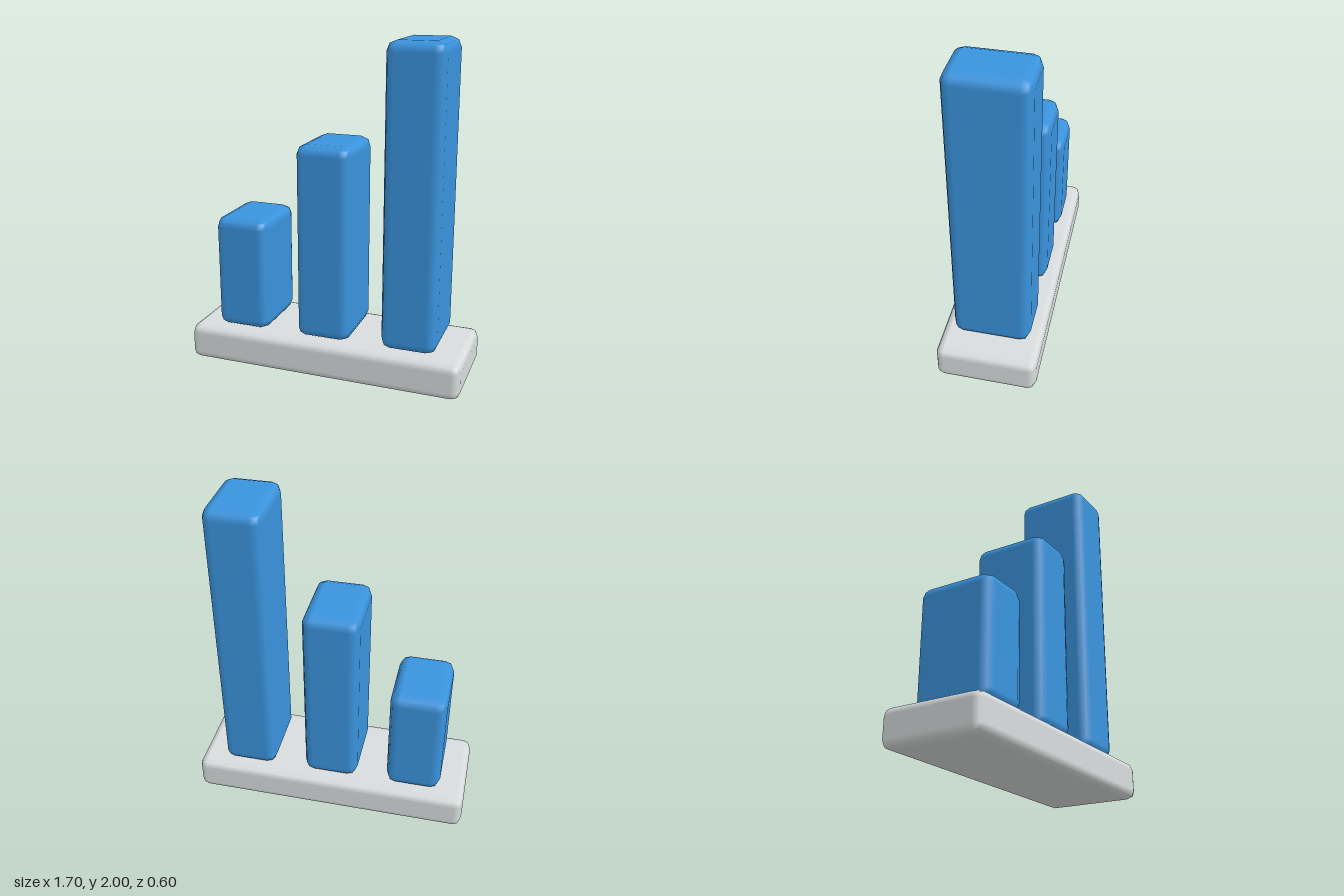
import * as THREE from 'three';
import { RoundedBoxGeometry } from 'three/addons/geometries/RoundedBoxGeometry.js';

export function createModel() {
  const model = new THREE.Group();
  model.name = 'barChart';

  const blue = new THREE.MeshStandardMaterial({ color: 0x3a94de });
  blue.name = 'blue';
  const paleGrey = new THREE.MeshStandardMaterial({ color: 0xd9dddd });
  paleGrey.name = 'paleGrey';

  // Block with two-step softened edges, standing on the given height
  function addBlock(name, [w, h, d], radius, x, bottom, material) {
    const mesh = new THREE.Mesh(new RoundedBoxGeometry(w, h, d, 1, radius), material);
    mesh.name = name;
    mesh.position.set(x, bottom + h / 2, 0);
    model.add(mesh);
  }

  // Base slab
  const baseTop = 0.22;
  addBlock('base', [1.7, baseTop, 0.6], 0.05, 0, 0, paleGrey);

  // Three bars rising towards +x
  const bars = [
    ['shortBar', -0.525, 0.92],
    ['middleBar', -0.003, 1.4],
    ['tallBar', 0.522, 2],
  ];
  for (const [name, x, top] of bars) {
    addBlock(name, [0.335, top - baseTop, 0.46], 0.06, x, baseTop, blue);
  }

  return model;
}
